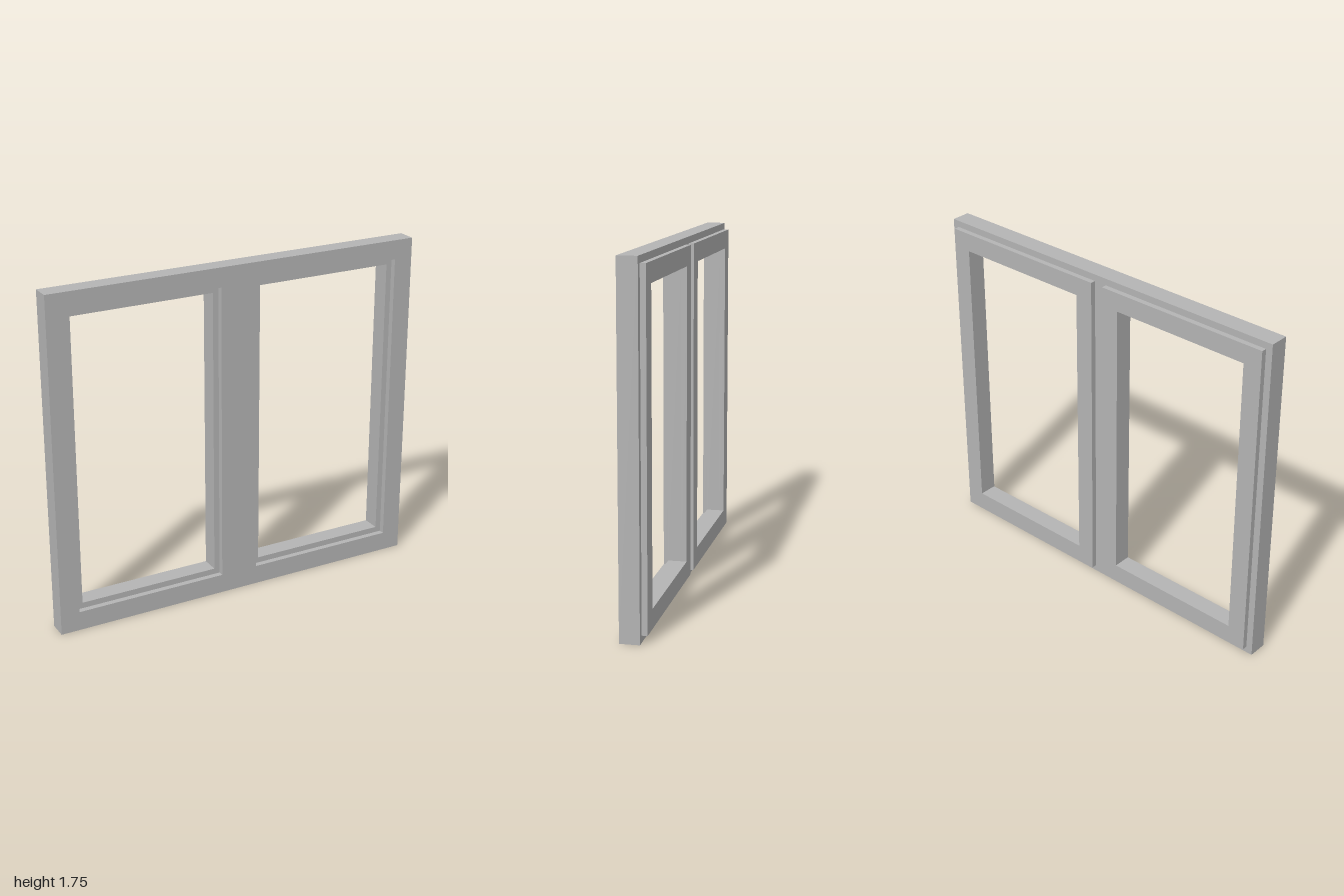
import * as THREE from 'three';

const WIDTH = 2, HEIGHT = 1.75;
const FRONT = 0.0625, BACK = -0.0625;
const FRAME_BACK = -0.035, SASH_FRONT = 0.0325;

// Adds a rectangle outline to a Shape or Path
function rect(path, x0, y0, x1, y1) {
  path.moveTo(x0, y0);
  path.lineTo(x1, y0);
  path.lineTo(x1, y1);
  path.lineTo(x0, y1);
  path.closePath();
  return path;
}

// Flat board with rectangular openings, spanning z0 to z1
function board(name, outer, openings, z0, z1, material) {
  const shape = rect(new THREE.Shape(), ...outer);
  for (const o of openings) shape.holes.push(rect(new THREE.Path(), ...o));
  const geometry = new THREE.ExtrudeGeometry(shape, { depth: z1 - z0, bevelEnabled: false });
  geometry.translate(0, 0, z0);
  const mesh = new THREE.Mesh(geometry, material);
  mesh.name = name;
  return mesh;
}

// Opening of one bay (side -1 or 1), inset from the bay's edges
function bay(side, inset) {
  const a = side * inset, b = side * (WIDTH / 2 - inset);
  return [Math.min(a, b), inset, Math.max(a, b), HEIGHT - inset];
}

export function createModel() {
  const group = new THREE.Group();
  group.name = 'doubleWindow';
  const grey = new THREE.MeshStandardMaterial({ color: 0xb4b4b4 });
  grey.name = 'window grey';

  // Fixed outer frame with central mullion
  group.add(board('outerFrame', [-WIDTH / 2, 0, WIDTH / 2, HEIGHT],
    [bay(-1, 0.1), bay(1, 0.1)], FRAME_BACK, FRONT, grey));

  // Two casements: a body inside the opening and a lip overlapping the frame's back
  for (const side of [-1, 1]) {
    const sash = new THREE.Group();
    sash.name = side > 0 ? 'leftSash' : 'rightSash';
    const opening = bay(side, 0.13);
    sash.add(board('sashBody', bay(side, 0.1), [opening], FRAME_BACK, SASH_FRONT, grey));
    sash.add(board('sashLip', bay(side, 0.034), [opening], BACK, FRAME_BACK, grey));
    group.add(sash);
  }
  return group;
}
